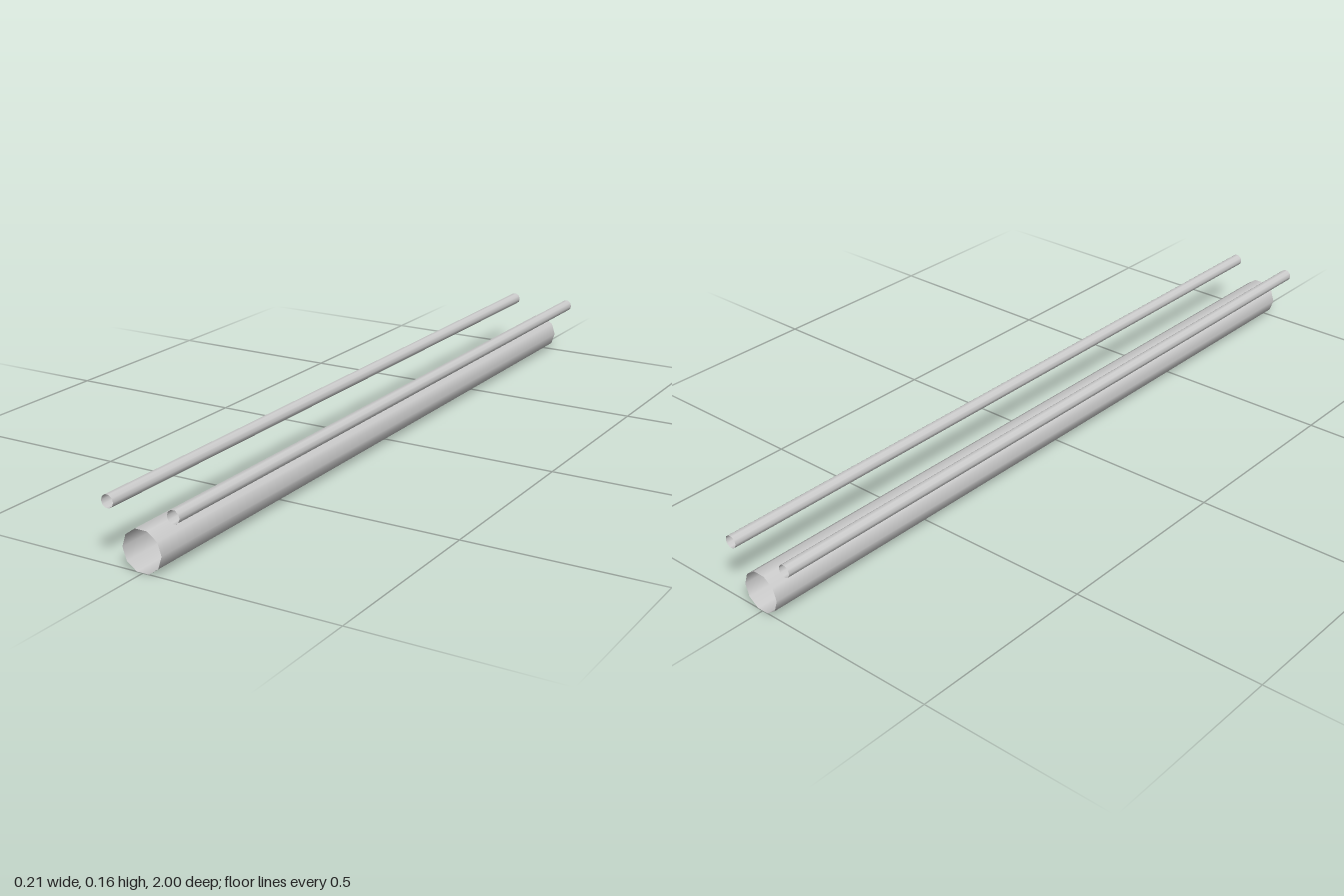
import * as THREE from 'three';

const material = new THREE.MeshStandardMaterial({ color: 0xcccccc, side: THREE.DoubleSide });

// Open-ended ten-sided pipe running along z, with corners on its left and right
function pipe(name, radius, x, y) {
  const geometry = new THREE.CylinderGeometry(radius, radius, 2, 10, 1, true, Math.PI / 2);
  geometry.rotateX(Math.PI / 2);
  const mesh = new THREE.Mesh(geometry, material);
  mesh.name = name;
  mesh.position.set(x, y, 0);
  return mesh;
}

export function createModel() {
  const group = new THREE.Group();
  group.name = 'pipes';

  // Large pipe resting on the ground
  group.add(pipe('mainPipe', 0.0525, 0, 0.05));

  // Pair of thin pipes above, one on each side
  for (const side of [-1, 1]) {
    group.add(pipe(side < 0 ? 'rightThinPipe' : 'leftThinPipe', 0.0165, side * 0.088, 0.147));
  }
  return group;
}
